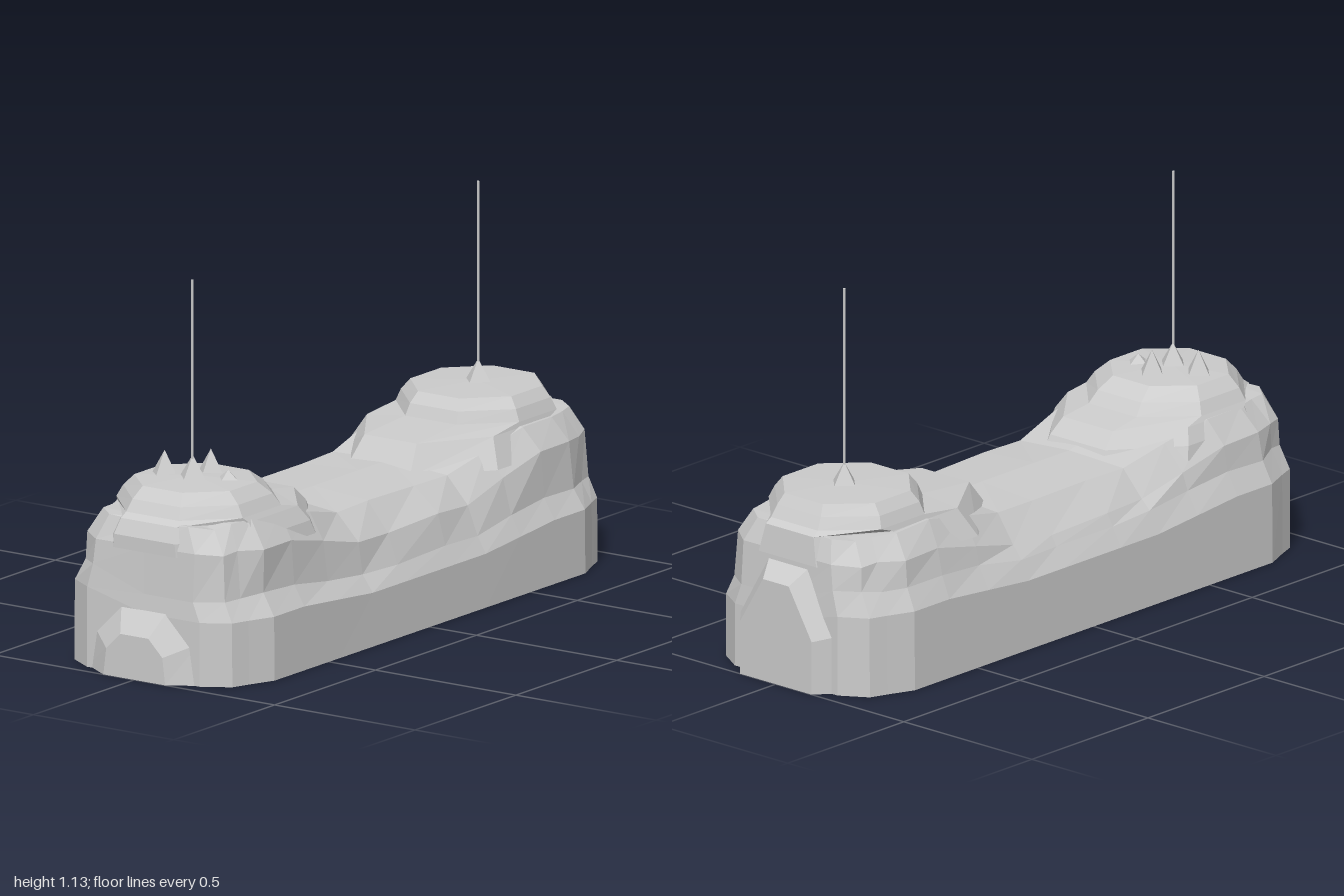
import * as THREE from 'three';

const material = new THREE.MeshStandardMaterial({ color: 0xcccccc, flatShading: true, side: THREE.DoubleSide });

let seed = 7;
const rand = () => (seed = (seed * 16807) % 2147483647) / 2147483647 - 0.5;

// Skin between closed rings of [x, y, z], listed from bottom to top
function loft(rings) {
  const pos = [];
  for (let i = 0; i < rings.length - 1; i++) {
    const lo = rings[i], hi = rings[i + 1], n = lo.length;
    for (let j = 0; j < n; j++) {
      const k = (j + 1) % n;
      pos.push(...lo[j], ...lo[k], ...hi[k], ...lo[j], ...hi[k], ...hi[j]);
    }
  }
  const g = new THREE.BufferGeometry();
  g.setAttribute('position', new THREE.Float32BufferAttribute(pos, 3));
  g.computeVertexNormals();
  return g;
}

// Long rock base: one plan outline, stacked in levels that sag in the middle
function bodyGeometry() {
  const quarter = [[0.955, 0], [0.955, 0.6], [0.905, 0.84], [0.85, 0.9], [0.77, 1], [0.62, 1], [0.45, 1], [0.28, 1], [0.12, 1]];
  const half = [...quarter, ...quarter.slice(1).reverse().map(([x, z]) => [-x, z])];
  const plan = [...half.map(([x, z]) => [x, -z]), [-0.955, 0], ...half.slice(1).reverse()];
  // [x scale, end y, end z, middle y, middle z, extra height at the back, roughness]
  const levels = [
    [1, 0, 0, 0, 0, 0, 0],
    [1, 0, 0.335, 0, 0.335, 0, 0],
    [1, 0.19, 0.333, 0.16, 0.333, 0.05, 0],
    [0.995, 0.25, 0.297, 0.21, 0.3, 0.06, 0.012],
    [0.99, 0.385, 0.287, 0.3, 0.275, 0, 0.012],
    [0.965, 0.455, 0.235, 0.382, 0.2, 0, 0.012],
    [0.94, 0.46, 0, 0.395, 0, 0, 0],
  ];
  return loft(levels.map(([sx, ye, ze, ym, zm, back, rough]) => plan.map(([x, z]) => {
    const w = 1 - THREE.MathUtils.smoothstep(Math.abs(x), 0.28, 0.62);
    const y = ye + (ym - ye) * w + (z < 0 ? back : 0);
    return [x * sx, y + rand() * rough, z * (ze + (zm - ze) * w) + rand() * rough];
  })));
}

// Stepped octagonal mound from levels of [y, x min, x max, half depth]
function moundGeometry(levels) {
  const f = 1 / Math.cos(Math.PI / 8);
  return loft(levels.map(([y, x0, x1, d]) => Array.from({ length: 8 }, (_, j) => {
    const a = (j + 0.5) * Math.PI / 4;
    return [(x0 + x1) / 2 + Math.cos(a) * f * (x1 - x0) / 2, y, -Math.sin(a) * f * d];
  })));
}

// Bulge on an end wall: bevelled outline pushed out to |x| = 1, cut flat at the ground
function endBulgeGeometry(points, bevel, sideSign) {
  const shape = new THREE.Shape([...points, ...points.slice().reverse().map(([x, y]) => [-x, y])]
    .map(([x, y]) => new THREE.Vector2(x, y)));
  const g = new THREE.ExtrudeGeometry(shape, {
    depth: 0.02, bevelEnabled: true, bevelSize: bevel, bevelThickness: 0.06, bevelSegments: 1,
  });
  const p = g.attributes.position;
  for (let i = 0; i < p.count; i++) p.setY(i, Math.max(0, p.getY(i)));
  g.rotateY(sideSign * Math.PI / 2);
  g.translate(sideSign * 0.92, 0, 0);
  g.computeVertexNormals();
  return g;
}

export function createModel() {
  const group = new THREE.Group();
  const add = (name, geometry, x = 0, y = 0, z = 0) => {
    const mesh = new THREE.Mesh(geometry, material);
    mesh.name = name;
    mesh.position.set(x, y, z);
    group.add(mesh);
    return mesh;
  };

  add('rockBody', bodyGeometry());
  add('leftEndBulge', endBulgeGeometry([[0.14, 0], [0.14, 0.16], [0.05, 0.31]], 0.05, 1));
  add('rightEndBulge', endBulgeGeometry([[0.11, 0], [0.1, 0.08], [0.05, 0.13]], 0.09, -1));

  // Stepped mounds at both ends
  add('leftMound', moundGeometry([
    [0.37, 0.21, 0.95, 0.27], [0.455, 0.27, 0.94, 0.225], [0.47, 0.47, 0.92, 0.22],
    [0.505, 0.485, 0.9, 0.205], [0.537, 0.51, 0.88, 0.18], [0.542, 0.7, 0.7, 0],
  ]));
  add('rightMound', moundGeometry([
    [0.37, -0.95, -0.28, 0.27], [0.41, -0.95, -0.3, 0.26], [0.455, -0.93, -0.345, 0.235],
    [0.47, -0.91, -0.45, 0.225], [0.505, -0.89, -0.48, 0.205], [0.54, -0.86, -0.53, 0.17], [0.55, -0.7, -0.7, 0],
  ]));

  // Small four-sided peaks: [x, z, top, radius]
  for (const [x, z, top, r] of [
    [0.705, 0, 0.605, 0.05], [-0.71, 0, 0.612, 0.055], [-0.62, 0, 0.612, 0.05],
    [-0.71, -0.1, 0.612, 0.05], [-0.66, 0.09, 0.57, 0.05],
  ]) {
    const h = top - 0.53;
    add('peak', new THREE.ConeGeometry(r, h, 4), x, 0.53 + h / 2, z);
  }

  // Thin poles
  for (const x of [0.705, -0.712]) {
    add('pole', new THREE.CylinderGeometry(0.004, 0.004, 0.635, 8), x, 0.8175, 0);
  }
  return group;
}
